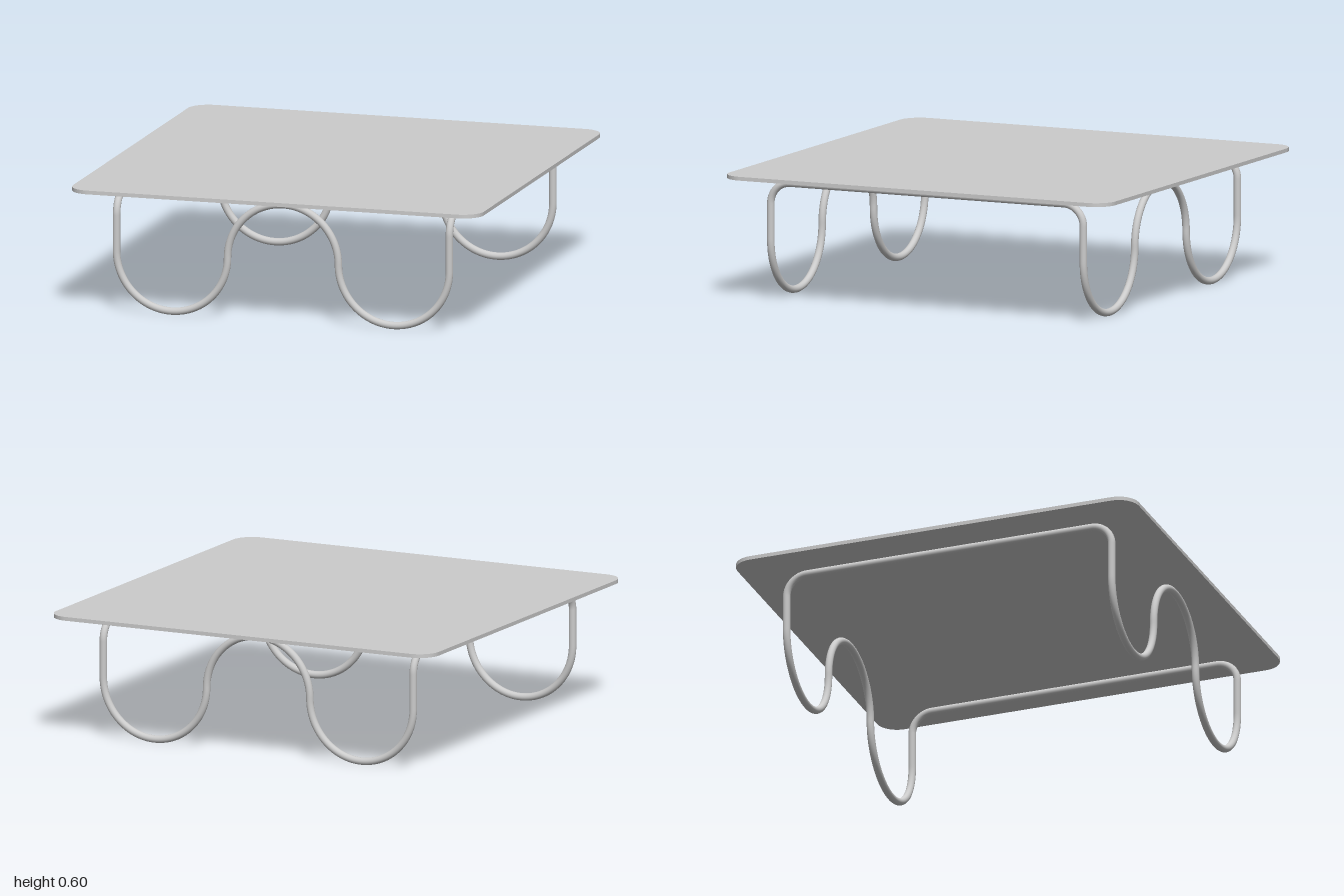
import * as THREE from 'three';

const V = (x, y, z) => new THREE.Vector3(x, y, z);

// Circular arc starting at direction u from the centre and turning towards v
class Arc extends THREE.Curve {
  constructor(centre, radius, u, v, sweep) {
    super();
    Object.assign(this, { centre, radius, u, v, sweep });
  }
  getPoint(t, target = new THREE.Vector3()) {
    const a = t * this.sweep;
    return target.copy(this.centre)
      .addScaledVector(this.u, this.radius * Math.cos(a))
      .addScaledVector(this.v, this.radius * Math.sin(a));
  }
}

export function createModel() {
  const table = new THREE.Group();
  table.name = 'table';
  const material = new THREE.MeshStandardMaterial({ color: 0xcccccc });

  // Thin square top with rounded corners
  const c = 0.9, r = 0.1;
  const outline = new THREE.Shape();
  outline.absarc(c, c, r, 0, Math.PI / 2);
  outline.absarc(-c, c, r, Math.PI / 2, Math.PI);
  outline.absarc(-c, -c, r, Math.PI, Math.PI * 1.5);
  outline.absarc(c, -c, r, Math.PI * 1.5, Math.PI * 2);
  outline.closePath();
  const topGeometry = new THREE.ExtrudeGeometry(outline, { depth: 0.018, bevelEnabled: false, curveSegments: 16 });
  topGeometry.rotateX(-Math.PI / 2);
  const top = new THREE.Mesh(topGeometry, material);
  top.name = 'tableTop';
  top.position.y = 0.584;
  table.add(top);

  // One continuous bent tube: a wave at front and back, joined by side rails
  const tube = 0.0175, wave = 0.27, bend = 0.1;
  const midY = tube + wave, railY = midY + wave, bendY = railY - bend;
  const postX = 3 * wave, frontZ = 0.83, backZ = -0.79;
  const up = V(0, 1, 0), down = V(0, -1, 0);
  const path = new THREE.CurvePath();
  const line = (a, b) => path.add(new THREE.LineCurve3(a, b));

  for (const [s, z, zNext] of [[1, frontZ, backZ], [-1, backZ, frontZ]]) {
    // Post, trough, arch, trough, post
    line(V(-s * postX, bendY, z), V(-s * postX, midY, z));
    for (const i of [-1, 0, 1]) {
      path.add(new Arc(V(s * i * 2 * wave, midY, z), wave, V(-s, 0, 0), i ? down : up, Math.PI));
    }
    line(V(s * postX, midY, z), V(s * postX, bendY, z));
    // Bend, side rail, bend
    const x = s * postX, zA = z - s * bend, zB = zNext + s * bend;
    path.add(new Arc(V(x, bendY, zA), bend, V(0, 0, s), up, Math.PI / 2));
    line(V(x, railY, zA), V(x, railY, zB));
    path.add(new Arc(V(x, bendY, zB), bend, up, V(0, 0, -s), Math.PI / 2));
  }

  const frame = new THREE.Mesh(new THREE.TubeGeometry(path, 640, tube, 16, true), material);
  frame.name = 'tubeFrame';
  table.add(frame);
  return table;
}
